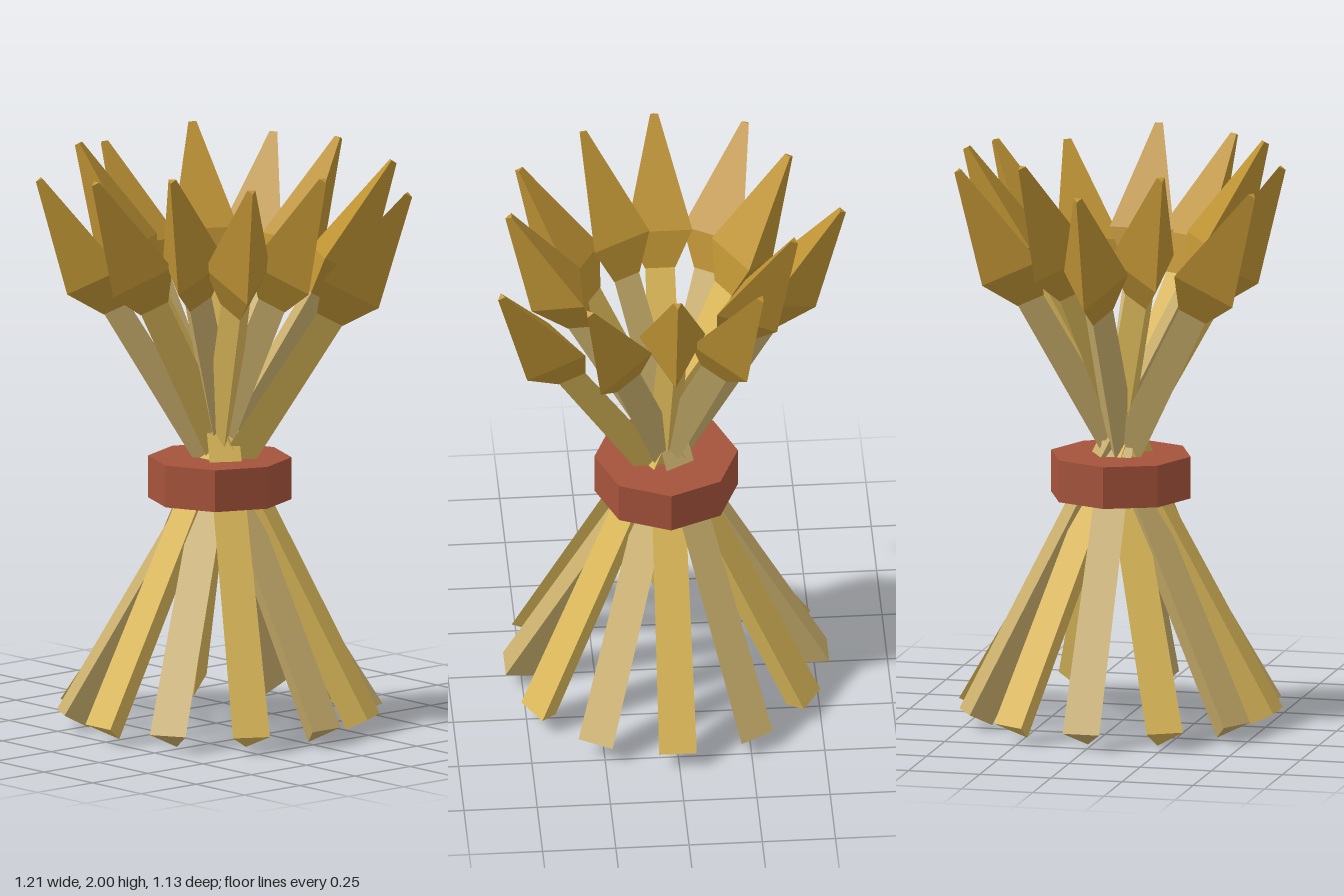
import * as THREE from 'three';

const flat = (name, color) => {
  const m = new THREE.MeshStandardMaterial({ color, flatShading: true });
  m.name = name;
  return m;
};

export function createModel() {
  const straw = flat('yellow straw', 0xdcb95a);
  const paleStraw = flat('pale straw', 0xcbb06d);
  const grain = flat('golden grain', 0xbe9334);
  const cord = flat('red cord', 0xa5533b);

  const model = new THREE.Group();
  model.name = 'sheaf';
  const sheaf = new THREE.Group();
  sheaf.name = 'bundle';
  sheaf.position.set(0.006, 0, -0.01);
  model.add(sheaf);

  const add = (parent, name, geometry, material) => {
    const mesh = new THREE.Mesh(geometry, material);
    mesh.name = name;
    parent.add(mesh);
    return mesh;
  };

  // Three-sided stem and pointed ear, both standing on their own base
  const stemLength = 1.68, earLength = 2.195, baseRadius = 0.52;
  const stemGeometry = new THREE.CylinderGeometry(0.058, 0.074, stemLength, 3)
    .translate(0, stemLength / 2, 0);
  const earProfile = [[0, 1.67], [0.06, 1.67], [0.13, 1.8], [0.016, earLength], [0, earLength]]
    .map(([r, y]) => new THREE.Vector2(r, y));
  const earGeometry = new THREE.LatheGeometry(earProfile, 3);

  // Twelve straight stalks crossing near the middle; each ear reaches out by its own amount
  const reach = [0.565, 0.51, 0.557, 0.535, 0.678, 0.6, 0.54, 0.575, 0.485, 0.6, 0.507, 0.625];
  reach.forEach((r, i) => {
    const angle = (i * Math.PI) / 6;
    const stalk = new THREE.Group();
    stalk.name = `stalk${i + 1}`;
    stalk.position.set(-baseRadius * Math.sin(angle), 0.04, -baseRadius * Math.cos(angle));
    stalk.rotation.set(Math.asin((r + baseRadius) / earLength), angle, 0, 'YXZ');
    add(stalk, 'stem', stemGeometry, i % 2 ? paleStraw : straw);
    add(stalk, 'ear', earGeometry, grain);
    sheaf.add(stalk);
  });

  // Eight-sided binding around the waist
  add(sheaf, 'binding', new THREE.CylinderGeometry(0.245, 0.245, 0.145, 8), cord)
    .position.y = 0.853;

  return model;
}
